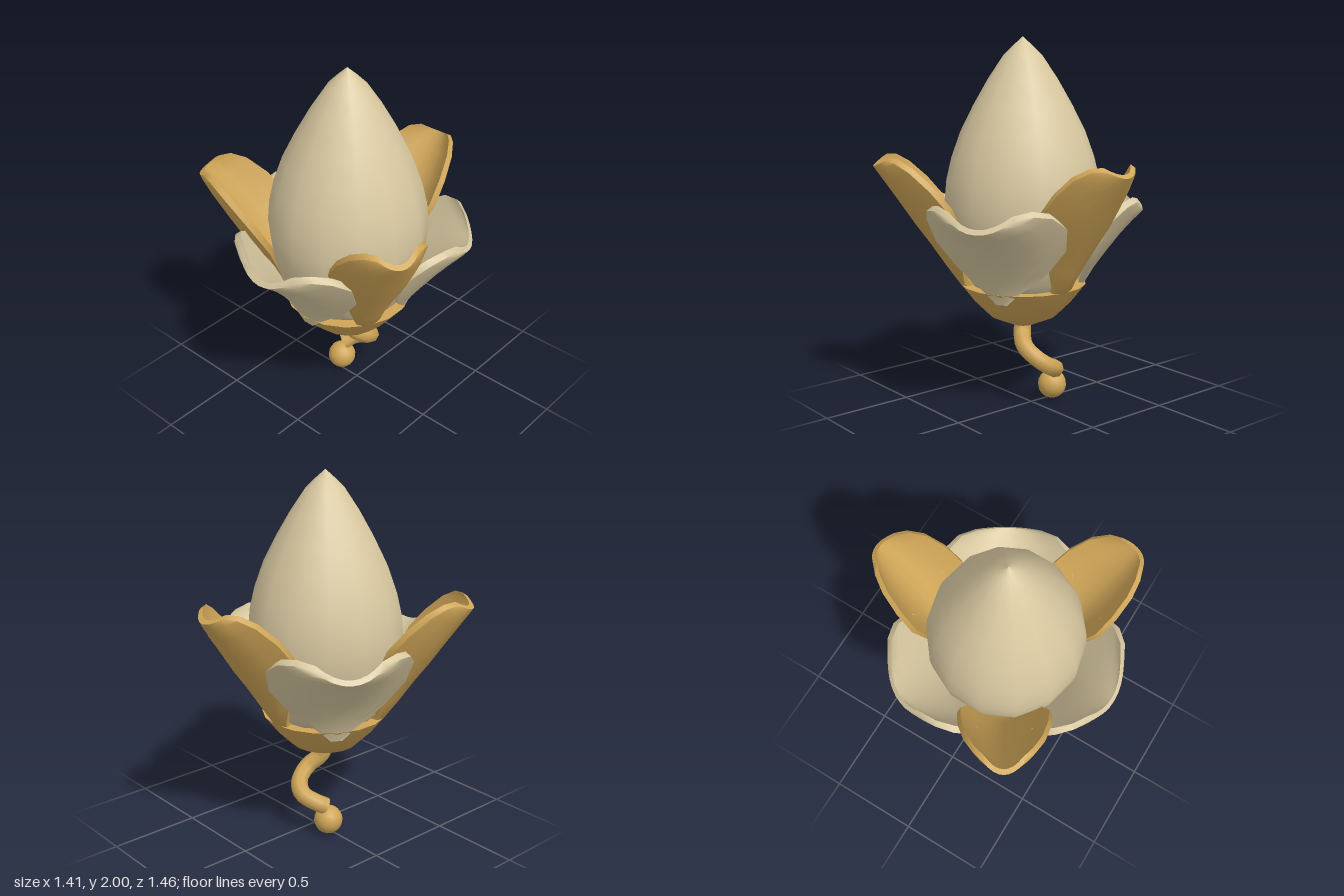
import * as THREE from 'three';
import { toCreasedNormals } from 'three/addons/utils/BufferGeometryUtils.js';

const CENTER_Z = 0.07;

// Cupped petal facing +z. Each row: [radius, height, half width, edge cupping].
function petalGeometry(rows, thickness) {
  const N = 8, L = 2 * (N + 1), pos = [], idx = [];
  rows.forEach(([r, y, w, cup], j) => {
    const a = rows[Math.max(j - 1, 0)], b = rows[Math.min(j + 1, rows.length - 1)];
    const len = Math.hypot(b[0] - a[0], b[1] - a[1]);
    const nr = -(b[1] - a[1]) / len, ny = (b[0] - a[0]) / len;
    for (let k = 0; k < L; k++) {
      const inner = k > N;
      const u = ((inner ? L - 1 - k : k) / N) * 2 - 1;
      const d = cup * u * u + (inner ? thickness : 0);
      pos.push(w * u * (inner ? 0.93 : 1), y + ny * d, r + nr * d);
    }
  });
  const quad = (a, b, c, d) => idx.push(a, b, c, a, c, d);
  for (let j = 0; j < rows.length - 1; j++) {
    for (let k = 0; k < L; k++) {
      const n = (k + 1) % L;
      quad(j * L + k, j * L + n, (j + 1) * L + n, (j + 1) * L + k);
    }
  }
  // end caps
  const top = (rows.length - 1) * L;
  for (let i = 0; i < N; i++) {
    quad(top + i, top + i + 1, top + L - 2 - i, top + L - 1 - i);
    quad(i, L - 1 - i, L - 2 - i, i + 1);
  }
  const g = new THREE.BufferGeometry();
  g.setAttribute('position', new THREE.Float32BufferAttribute(pos, 3));
  g.setIndex(idx);
  return toCreasedNormals(g, 0.9);
}

function lathe(points, segments, crease) {
  const g = new THREE.LatheGeometry(points.map(([x, y]) => new THREE.Vector2(x, y)), segments);
  return crease ? toCreasedNormals(g, crease) : g;
}

export function createModel() {
  const model = new THREE.Group();
  const pale = new THREE.MeshStandardMaterial({ color: 0xd9c9a1 });
  pale.name = 'pale cream';
  const gold = new THREE.MeshStandardMaterial({ color: 0xcfa557 });
  gold.name = 'golden tan';

  const add = (name, geometry, material, x = 0, y = 0, z = CENTER_Z) => {
    const mesh = new THREE.Mesh(geometry, material);
    mesh.name = name;
    mesh.position.set(x, y, z);
    model.add(mesh);
    return mesh;
  };

  // closed bud
  add('bud', lathe([
    [0, 0.62], [0.26, 0.64], [0.32, 0.72], [0.38, 0.85], [0.415, 1.0], [0.425, 1.12],
    [0.413, 1.24], [0.385, 1.36], [0.335, 1.5], [0.265, 1.64], [0.185, 1.78],
    [0.105, 1.9], [0.05, 1.955], [0, 2.0],
  ], 14), pale);

  // cup under the petals, with a flat top
  add('cup', lathe([
    [0, 0.435], [0.06, 0.438], [0.185, 0.492], [0.265, 0.572], [0.325, 0.65],
    [0.345, 0.675], [0, 0.675],
  ], 18, 0.8), gold);

  // three short broad petals and three long narrow ones, alternating
  const broad = petalGeometry([
    [0.318, 0.618, 0.03, 0.0], [0.34, 0.675, 0.10, 0.02], [0.385, 0.76, 0.25, 0.08],
    [0.45, 0.85, 0.36, 0.14], [0.53, 0.94, 0.385, 0.18], [0.60, 1.01, 0.34, 0.16],
    [0.64, 1.04, 0.27, 0.13], [0.66, 1.055, 0.18, 0.085],
  ], 0.03);
  const narrow = petalGeometry([
    [0.30, 0.645, 0.05, 0.01], [0.345, 0.675, 0.065, 0.02], [0.42, 0.78, 0.12, 0.08],
    [0.50, 0.90, 0.20, 0.15], [0.58, 1.01, 0.245, 0.18], [0.66, 1.13, 0.235, 0.165],
    [0.735, 1.24, 0.20, 0.135], [0.78, 1.305, 0.15, 0.10], [0.798, 1.332, 0.10, 0.065],
  ], 0.03);
  for (let i = 0; i < 3; i++) {
    const angle = (i * Math.PI * 2) / 3;
    add('broadPetal' + (i + 1), broad, pale).rotation.y = angle;
    add('narrowPetal' + (i + 1), narrow, gold).rotation.y = angle + Math.PI / 3;
  }

  // curling stem with closed ends, ending in a ball
  const path = new THREE.CatmullRomCurve3([
    [0, 0.46, 0.07], [0.015, 0.4, 0.06], [0.055, 0.335, -0.01], [0.03, 0.275, -0.09],
    [-0.03, 0.228, -0.117], [-0.1, 0.195, -0.085], [-0.135, 0.165, -0.035],
  ].map((p) => new THREE.Vector3(...p)));
  add('stem', new THREE.TubeGeometry(path, 18, 0.048, 8), gold, 0, 0, 0);
  const end = add('stemEnd', new THREE.CircleGeometry(0.048, 8), gold);
  end.position.copy(path.getPoint(1));
  end.lookAt(path.getPoint(1).add(path.getTangent(1)));
  add('stemBall', new THREE.SphereGeometry(0.08, 14, 10), gold, -0.135, 0.08, -0.02);

  return model;
}
